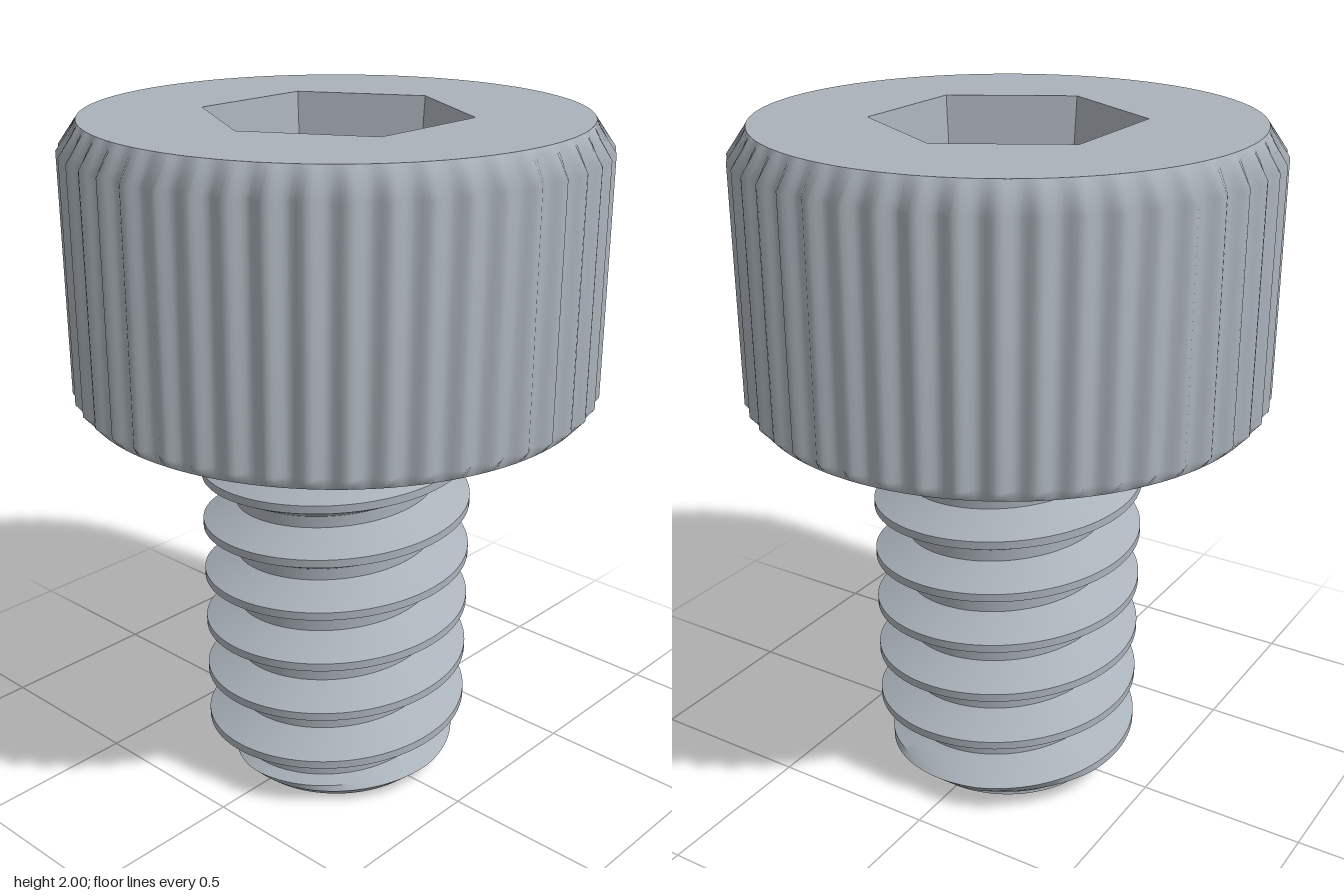
import * as THREE from 'three';
import { mergeVertices, toCreasedNormals } from 'three/addons/utils/BufferGeometryUtils.js';

const HEAD_BASE = 1.2, TOP = 2, PITCH = 0.165, ROOT = 0.3, CREST = 0.4;

// Closed tube of quads around y; point(row, angle) returns [radius, height]
function revolveGrid(rows, cols, point) {
  const pos = [], index = [];
  for (let i = 0; i < rows; i++) {
    for (let j = 0; j <= cols; j++) {
      const t = (j / cols) * Math.PI * 2;
      const [r, y] = point(i, t);
      pos.push(r * Math.cos(t), y, -r * Math.sin(t));
      if (i < rows - 1 && j < cols) {
        const a = i * (cols + 1) + j, c = a + cols + 1;
        index.push(a, a + 1, c + 1, a, c + 1, c);
      }
    }
  }
  const geo = new THREE.BufferGeometry();
  geo.setAttribute('position', new THREE.Float32BufferAttribute(pos, 3));
  geo.setIndex(index);
  const merged = mergeVertices(geo);
  merged.computeVertexNormals();
  return merged;
}

// Thread radius at a signed distance from the crest, tapered at the tip
function threadRadius(t, y) {
  const u = (y - 0.07) / PITCH - t / (Math.PI * 2);
  const d = Math.abs(u - Math.round(u)) * PITCH;
  const k = THREE.MathUtils.clamp((0.065 - d) / 0.053, 0, 1);
  return Math.min(ROOT + (CREST - ROOT) * k, ROOT + y * 1.1);
}

export function createModel() {
  const group = new THREE.Group();
  const steel = new THREE.MeshStandardMaterial({ color: 0xaab2ba });
  steel.name = 'steel';
  const add = (name, geo, y = 0) => {
    const mesh = new THREE.Mesh(geo, steel);
    mesh.name = name;
    mesh.position.y = y;
    group.add(mesh);
  };

  // Threaded shank: rows follow the helix and are clamped at both ends
  const steps = [-0.065, -0.047, -0.03, -0.012, 0.012, 0.03, 0.047, 0.065];
  const rows = steps.length * 10;
  const shank = revolveGrid(rows, 96, (i, t) => {
    const turn = Math.floor(i / steps.length) - 2;
    const raw = 0.07 + PITCH * (turn + t / (Math.PI * 2)) + steps[i % steps.length];
    const y = THREE.MathUtils.clamp(raw, 0, HEAD_BASE);
    return [threadRadius(t, y), y];
  });
  add('threadedShank', toCreasedNormals(shank, 0.6));
  add('shankTip', new THREE.CircleGeometry(ROOT, 96).rotateX(Math.PI / 2));

  // Knurled head wall with plain round rims
  const knurl = (t) => 0.746 + 0.011 * Math.cos(48 * t);
  const wall = [[0.725, HEAD_BASE], [null, 1.235], [null, 1.92], [0.7, TOP]];
  add('knurledHead', revolveGrid(wall.length, 384, (i, t) => [wall[i][0] ?? knurl(t), wall[i][1]]));
  add('headUnderside', new THREE.CircleGeometry(0.725, 96).rotateX(Math.PI / 2), HEAD_BASE);

  // Top face with a six-sided opening
  const face = new THREE.Shape().absarc(0, 0, 0.7, 0, Math.PI * 2);
  const hex = [];
  for (let i = 0; i < 6; i++) {
    const a = (i * Math.PI) / 3;
    hex.push(new THREE.Vector2(0.38 * Math.cos(a), 0.38 * Math.sin(a)));
  }
  face.holes.push(new THREE.Path(hex));
  add('headTop', new THREE.ShapeGeometry(face, 96).rotateX(-Math.PI / 2), TOP);

  // Tapered socket, turned inside out so that it faces inwards
  const depth = 0.4;
  const socket = new THREE.CylinderGeometry(0.38, 0.345, depth, 6, 1, true)
    .rotateY(Math.PI / 6).toNonIndexed();
  const p = socket.attributes.position;
  for (let i = 0; i < p.count; i += 3) {
    const a = new THREE.Vector3().fromBufferAttribute(p, i + 1);
    const b = new THREE.Vector3().fromBufferAttribute(p, i + 2);
    p.setXYZ(i + 1, b.x, b.y, b.z);
    p.setXYZ(i + 2, a.x, a.y, a.z);
  }
  socket.computeVertexNormals();
  add('socketWalls', socket, TOP - depth / 2);
  add('socketFloor', new THREE.CircleGeometry(0.345, 6).rotateX(-Math.PI / 2), TOP - depth);

  return group;
}
